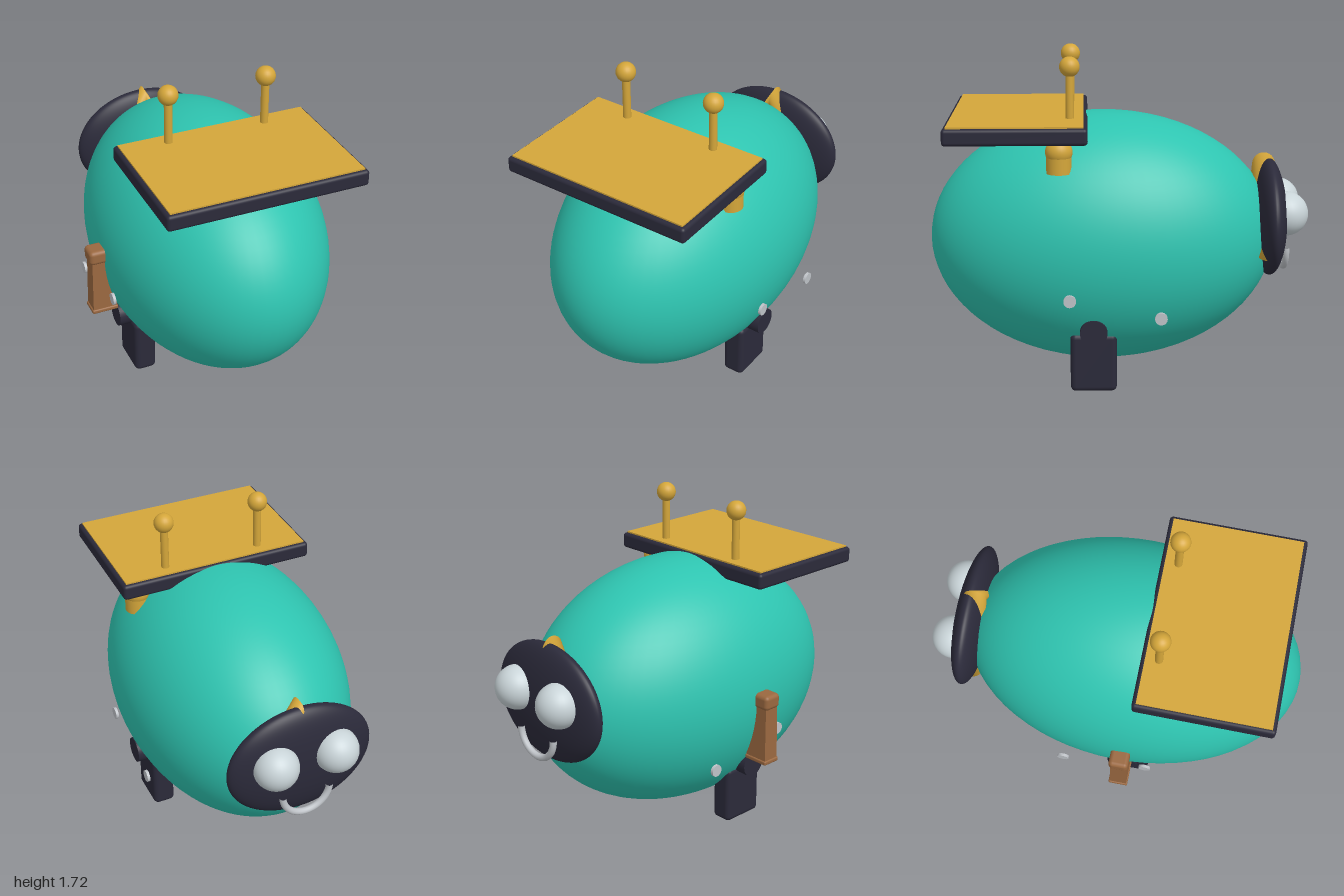
import * as THREE from 'three';
import { RoundedBoxGeometry } from 'three/addons/geometries/RoundedBoxGeometry.js';

const flat = (name, color) => {
  const m = new THREE.MeshStandardMaterial({ color });
  m.name = name;
  return m;
};

export function createModel() {
  const model = new THREE.Group();
  const teal = flat('teal', 0x2ec4b0);
  const gold = flat('gold', 0xd4a63a);
  const dark = flat('dark', 0x2b2a3a);
  const brown = flat('brown', 0x9a6840);
  const pale = flat('pale', 0xc9d4d8);
  const metal = flat('metal', 0xbfc3c8);
  const CX = 0.035; // symmetry plane of the body

  const add = (name, geometry, material, x, y, z, parent = model) => {
    const mesh = new THREE.Mesh(geometry, material);
    mesh.name = name;
    mesh.position.set(x, y, z);
    parent.add(mesh);
    return mesh;
  };
  const ellipsoid = (rx, ry, rz) => new THREE.SphereGeometry(1, 64, 40).scale(rx, ry, rz);

  // Egg-shaped body
  add('body', ellipsoid(0.6, 0.672, 0.92), teal, CX, 0.728, 0.08);

  // Face disc at the rear, with a three-sided ring poking out round its rim
  add('head', ellipsoid(0.395, 0.315, 0.092), dark, CX, 0.825, -0.808);
  const ring = new THREE.TorusGeometry(0.284, 0.061, 24, 3).rotateZ(Math.PI / 2);
  add('headRing', ring, gold, CX, 0.825, -0.78);
  for (const s of [-1, 1]) {
    add('eye', new THREE.SphereGeometry(0.117, 32, 24), pale, CX + s * 0.165, 0.875, -0.883);
  }
  const smile = new THREE.TorusGeometry(0.13, 0.018, 12, 32, Math.PI).rotateZ(Math.PI);
  add('smile', smile, metal, CX, 0.675, -0.897);

  // Roof panel with a thin gold sheet on top
  add('panelFrame', new RoundedBoxGeometry(1.06, 0.085, 0.72, 3, 0.018), dark, CX, 1.357, 0.52);
  add('panelSheet', new THREE.BoxGeometry(1.02, 0.009, 0.68), gold, CX, 1.403, 0.52);

  // Ball-topped antennas
  for (const s of [-1, 1]) {
    const antenna = new THREE.Group();
    antenna.name = 'antenna';
    antenna.position.set(CX + s * 0.265, 1.4, 0.25);
    add('antennaRod', new THREE.CylinderGeometry(0.021, 0.021, 0.25, 20), gold, 0, 0.12, 0, antenna);
    add('antennaBall', new THREE.SphereGeometry(0.052, 24, 16), gold, 0, 0.27, 0, antenna);
    model.add(antenna);
  }

  // Domed lamp under the panel, on one side only
  add('lampBase', new THREE.CylinderGeometry(0.064, 0.064, 0.09, 28), gold, 0.446, 1.2, 0.305);
  add('lampDome', new THREE.SphereGeometry(0.069, 28, 20), gold, 0.446, 1.262, 0.305);

  // Brown post on the other side: tapered shaft, rounded cap and base plate
  const post = new THREE.Group();
  post.name = 'post';
  post.position.set(-0.57, 0.4, 0.123);
  const shaft = new THREE.CylinderGeometry(0.06 * Math.SQRT2, 0.066 * Math.SQRT2, 0.32, 4, 1)
    .rotateY(Math.PI / 4).toNonIndexed();
  shaft.computeVertexNormals();
  shaft.scale(1, 1, 0.7);
  add('postShaft', shaft, brown, 0, 0.17, 0, post);
  add('postCap', new RoundedBoxGeometry(0.148, 0.08, 0.105, 3, 0.022), brown, 0, 0.35, 0, post);
  add('postBase', new RoundedBoxGeometry(0.145, 0.024, 0.105, 2, 0.008), brown, 0, 0.012, 0, post);
  model.add(post);

  // Legs with hip joints, and side bolts
  for (const s of [-1, 1]) {
    add('leg', new RoundedBoxGeometry(0.12, 0.315, 0.24, 3, 0.028), dark, CX + s * 0.41, 0.158, 0.135);
    const hip = new THREE.CylinderGeometry(0.07, 0.07, 0.19, 28).rotateZ(Math.PI / 2);
    add('hip', hip, dark, CX + s * 0.44, 0.342, 0.135);
    for (const [y, z] of [[0.535, 0.255], [0.44, -0.205]]) {
      const bolt = new THREE.CylinderGeometry(0.032, 0.032, 0.015, 20).rotateZ(Math.PI / 2);
      add('bolt', bolt, metal, CX + s * 0.59, y, z);
    }
  }
  return model;
}
